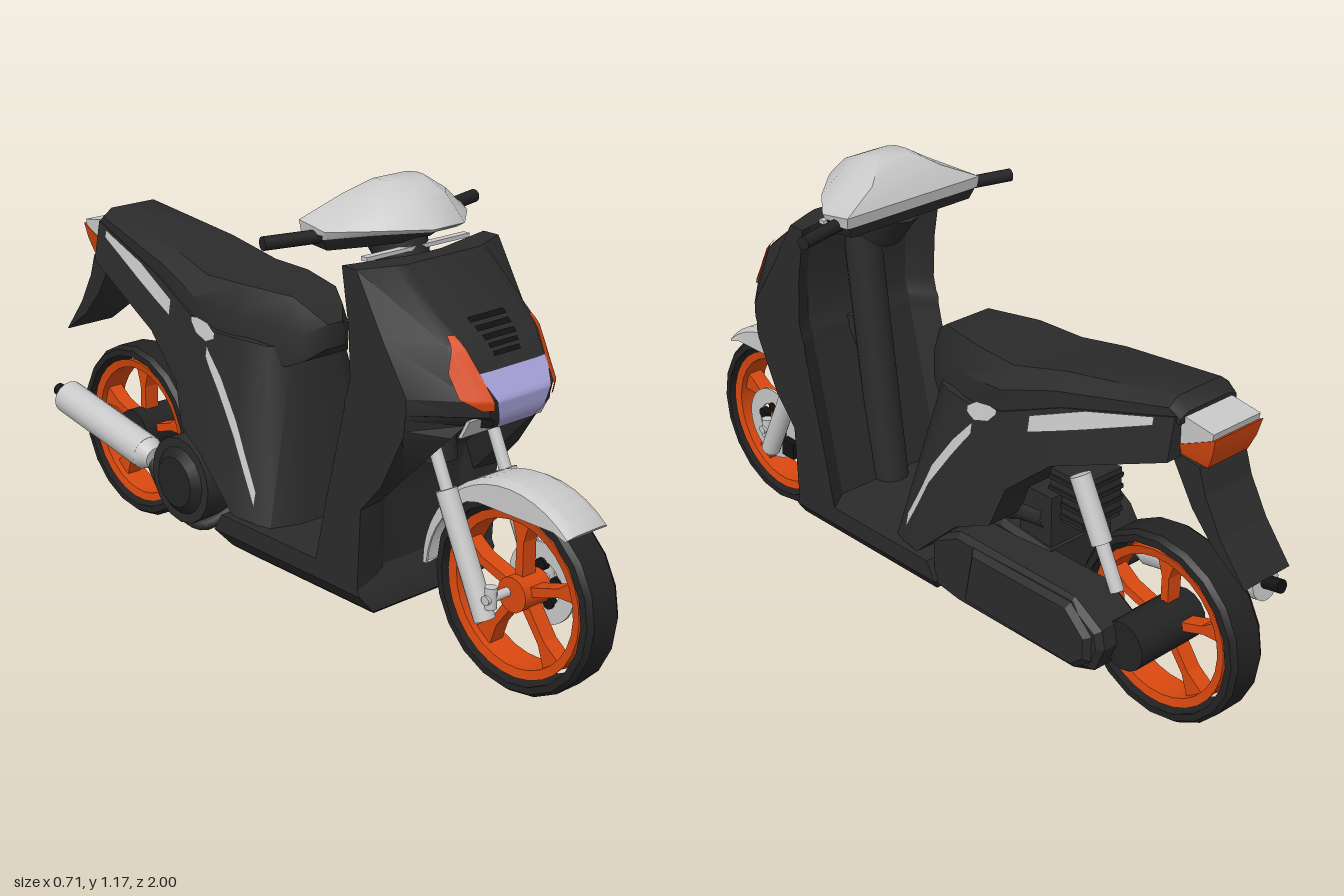
import * as THREE from 'three';
import { toCreasedNormals } from 'three/addons/utils/BufferGeometryUtils.js';

const paint = (name, color, side = THREE.FrontSide) => {
  const m = new THREE.MeshStandardMaterial({ color, side });
  m.name = name;
  return m;
};
const lerp = THREE.MathUtils.lerp;
const V = (p) => new THREE.Vector3(...p);

// Closed skin over rings of points, with capped ends
function loft(rings, crease = 0.45) {
  const n = rings[0].length, pos = [];
  const tri = (a, b, c) => pos.push(...a, ...b, ...c);
  for (let i = 0; i < rings.length - 1; i++) for (let j = 0; j < n; j++) {
    const k = (j + 1) % n, A = rings[i], B = rings[i + 1];
    tri(A[j], A[k], B[k]);
    tri(A[j], B[k], B[j]);
  }
  [rings[0], rings[rings.length - 1]].forEach((r, e) => {
    const mid = [0, 1, 2].map((d) => r.reduce((s, p) => s + p[d], 0) / n);
    for (let j = 0; j < n; j++) e ? tri(mid, r[j], r[(j + 1) % n]) : tri(mid, r[(j + 1) % n], r[j]);
  });
  // Turn the skin outwards if its volume is negative
  let vol = 0;
  for (let i = 0; i < pos.length; i += 9) {
    const [a, b, c] = [0, 3, 6].map((o) => V(pos.slice(i + o, i + o + 3)));
    vol += a.dot(b.cross(c));
  }
  if (vol < 0) for (let i = 0; i < pos.length; i += 9) for (let d = 0; d < 3; d++)
    [pos[i + 3 + d], pos[i + 6 + d]] = [pos[i + 6 + d], pos[i + 3 + d]];
  const g = new THREE.BufferGeometry();
  g.setAttribute('position', new THREE.Float32BufferAttribute(pos, 3));
  return toCreasedNormals(g, crease);
}
// Complete a half ring by mirroring it in x
const mirrorRing = (half) => [...half, ...half.map(([x, y, z]) => [-x, y, z]).reverse()];

// Thin painted panel: rows of [t, from, to] laid on a surface
function panel(rows, place) {
  const pos = [], idx = [], nu = 6, nv = 6;
  for (let r = 0; r < rows.length - 1; r++) for (let i = r ? 1 : 0; i <= nv; i++) {
    const [t, a, b] = rows[r].map((v, d) => lerp(v, rows[r + 1][d], i / nv));
    for (let j = 0; j <= nu; j++) pos.push(...place(t, lerp(a, b, j / nu)));
  }
  const w = nu + 1, count = pos.length / 3 / w;
  for (let i = 0; i < count - 1; i++) for (let j = 0; j < nu; j++) {
    const a = i * w + j;
    idx.push(a, a + 1, a + w, a + 1, a + w + 1, a + w);
  }
  const g = new THREE.BufferGeometry();
  g.setAttribute('position', new THREE.Float32BufferAttribute(pos, 3));
  g.setIndex(idx);
  g.computeVertexNormals();
  return g;
}
// Side outline of [z, y] points, extruded from x0 to x1
function sidePrism(pts, x0, x1, bevel = 0) {
  const g = new THREE.ExtrudeGeometry(new THREE.Shape(pts.map((p) => new THREE.Vector2(...p))), {
    depth: x1 - x0 - 2 * bevel, bevelEnabled: bevel > 0, bevelSize: bevel, bevelThickness: bevel,
    bevelOffset: -bevel, bevelSegments: 1 });
  return g.rotateY(-Math.PI / 2).translate(x1 - bevel, 0, 0);
}
function rodGeometry(a, b, r, r2 = r) {
  const A = V(a), B = V(b), d = B.clone().sub(A);
  const g = new THREE.CylinderGeometry(r2, r, d.length(), 16);
  g.applyQuaternion(new THREE.Quaternion().setFromUnitVectors(new THREE.Vector3(0, 1, 0), d.normalize()));
  return g.translate(...A.add(B).multiplyScalar(0.5).toArray());
}
const ringGeometry = (pts, seg) =>
  toCreasedNormals(new THREE.LatheGeometry(pts.map((p) => new THREE.Vector2(...p)), seg).rotateZ(-Math.PI / 2), 0.6);

// Leg shield rows: y, centre z, fold z, fold x, side z, rear z
const SHIELD = [
  [1.01, 0.455, 0.445, 0.15, 0.41, 0.36], [0.86, 0.64, 0.62, 0.15, 0.5, 0.385],
  [0.74, 0.72, 0.7, 0.13, 0.58, 0.39], [0.7, 0.715, 0.69, 0.13, 0.58, 0.38],
  [0.685, 0.71, 0.655, 0.11, 0.575, 0.372], [0.66, 0.69, 0.64, 0.1, 0.575, 0.37],
  [0.64, 0.56, 0.64, 0.15, 0.57, 0.365], [0.5, 0.42, 0.5, 0.16, 0.5, 0.33],
  [0.42, 0.4, 0.42, 0.16, 0.43, 0.31], [0.2, 0.4, 0.41, 0.16, 0.42, 0.26]];
function onShield(y, x) {
  let i = 0;
  while (i < SHIELD.length - 2 && y < SHIELD[i + 1][0]) i++;
  const t = (SHIELD[i][0] - y) / (SHIELD[i][0] - SHIELD[i + 1][0]);
  const [, zc, zf, a, zs] = SHIELD[i].map((v, d) => lerp(v, SHIELD[i + 1][d], t));
  const ax = Math.abs(x);
  const z = ax < a - 0.03 ? zc : ax < a ? lerp(zc, zf, (ax - a + 0.03) / 0.03) : lerp(zf, zs, (ax - a) / (0.235 - a));
  return [x, y, z + 0.008];
}
// Rear body rows: lower z, y, half width, then upper z, y, half width
const BODY = [
  [0.085, 0.235, 0.12, -0.005, 0.69, 0.07], [0.055, 0.235, 0.2, -0.04, 0.69, 0.125], [-0.06, 0.25, 0.232, -0.1, 0.7, 0.156],
  [-0.2, 0.38, 0.225, -0.2, 0.7, 0.17], [-0.3, 0.42, 0.205, -0.3, 0.72, 0.166],
  [-0.34, 0.53, 0.19, -0.34, 0.735, 0.16], [-0.47, 0.64, 0.17, -0.47, 0.785, 0.141],
  [-0.79, 0.76, 0.122, -0.79, 0.868, 0.102]];
function onBody(z, y, side) {
  const t = THREE.MathUtils.clamp((y - 0.27) / 0.43, 0, 1);
  const rowZ = (r) => lerp(r[0], r[3], t);
  let i = 0;
  while (i < BODY.length - 2 && z < rowZ(BODY[i + 1])) i++;
  const u = (rowZ(BODY[i]) - z) / (rowZ(BODY[i]) - rowZ(BODY[i + 1]));
  const [, yb, wb, , yt, wt] = BODY[i].map((v, d) => lerp(v, BODY[i + 1][d], u));
  return [side * (lerp(wb, wt, (y - yb) / (yt - yb)) + 0.008), y, z];
}

export function createModel() {
  const model = new THREE.Group();
  const dark = paint('dark plastic', 0x2b2b2b), black = paint('black', 0x121212, THREE.DoubleSide);
  const rubber = paint('rubber', 0x232323, THREE.DoubleSide), light = paint('light grey', 0xc8c8c8, THREE.DoubleSide);
  const orange = paint('orange', 0xd9480f, THREE.DoubleSide), lens = paint('lens', 0xa9a4dc, THREE.DoubleSide);
  const add = (name, geo, mat, parent = model) => {
    const m = new THREE.Mesh(geo, mat);
    m.name = name;
    parent.add(m);
    return m;
  };
  const rod = (name, mat, ...args) => add(name, rodGeometry(...args), mat);

  // Wheels: tyre, rim, hub and five flared spokes
  for (const [name, z] of [['frontWheel', 0.75], ['rearWheel', -0.717]]) {
    const wheel = new THREE.Group();
    wheel.name = name;
    wheel.position.set(0, 0.252, z);
    model.add(wheel);
    add('tyre', ringGeometry([[0.224, -0.055], [0.242, -0.054], [0.252, -0.04], [0.252, 0.04], [0.242, 0.054],
      [0.224, 0.055], [0.224, 0.05], [0.238, 0], [0.224, -0.05], [0.224, -0.055]].reverse(), 20), rubber, wheel);
    add('rim', ringGeometry([[0.187, -0.04], [0.21, -0.045], [0.203, 0], [0.21, 0.045], [0.187, 0.04], [0.187, -0.04]], 30), orange, wheel);
    add('hub', rodGeometry([-0.045, 0, 0], [0.045, 0, 0], 0.045), orange, wheel);
    for (let i = 0; i < 5; i++) {
      const s = add('spoke', sidePrism([[-0.012, 0.03], [0.012, 0.03], [0.011, 0.13], [0.03, 0.192], [-0.03, 0.192], [-0.011, 0.13]],
        -0.022, 0.022), orange, wheel);
      s.rotation.x = (i * Math.PI * 2) / 5;
    }
  }
  // Front brake and axle
  add('brakeDisc', ringGeometry([[0.06, -0.004], [0.105, -0.004], [0.105, 0.004], [0.06, 0.004], [0.06, -0.004]], 28)
    .translate(0.062, 0.252, 0.75), light);
  for (let i = 0; i < 5; i++) {
    const a = i * 1.257 + 0.3;
    rod('discBolt', black, [0.05, 0.252 + 0.05 * Math.sin(a), 0.75 + 0.05 * Math.cos(a)],
      [0.068, 0.252 + 0.05 * Math.sin(a), 0.75 + 0.05 * Math.cos(a)], 0.016);
  }
  add('brakeCaliper', new THREE.BoxGeometry(0.035, 0.05, 0.05).translate(0.07, 0.21, 0.66), black);
  rod('axle', light, [-0.12, 0.255, 0.735], [0.12, 0.255, 0.735], 0.012);

  // Fork legs
  for (const s of [-1, 1]) {
    rod('forkLower', light, [s * 0.102, 0.195, 0.72], [s * 0.102, 0.485, 0.583], 0.027);
    rod('forkUpper', light, [s * 0.1, 0.48, 0.585], [s * 0.1, 0.592, 0.533], 0.016);
    rod('axleClamp', light, [s * 0.1, 0.23, 0.735], [s * 0.1, 0.285, 0.735], 0.015);
  }
  rod('steeringTube', dark, [0, 0.5, 0.45], [0, 0.7, 0.43], 0.05);

  // Front mudguard: channel section swept about the wheel, its front skirt cut level
  add('frontMudguard', loft(Array.from({ length: 17 }, (_, i) => {
    const a = lerp(0.84, Math.PI, i / 16);
    const inner = a < 2.05 ? Math.min(0.27, 0.213 / Math.sin(a)) : lerp(0.24, 0.262, (a - 2.05) / 1.1);
    const at = (x, r) => [x, 0.252 + r * Math.sin(a), 0.75 + r * Math.cos(a)];
    return mirrorRing([at(0.045, 0.286), at(0.068, 0.275), at(0.07, inner), at(0.064, inner), at(0.06, 0.272)]);
  })), light);

  // Leg shield with hollow back and nose
  add('legShield', loft(SHIELD.map(([y, zc, zf, a, zs, zb]) => mirrorRing([
    [a - 0.03, y, zc], [a, y, zf], [0.235, y, zs], [0.235, y, zb], [0.17, y, zb + 0.045]]))), dark);
  rod('shieldSpine', dark, [0, 0.22, 0.31], [0, 0.93, 0.41], 0.05);
  add('shieldTopTrim', new THREE.BoxGeometry(0.34, 0.01, 0.02).translate(0, 1.014, 0.365), light);
  add('headlight', panel([[0.8, -0.115, 0.115], [0.74, -0.09, 0.09], [0.69, -0.075, 0.075], [0.662, -0.06, 0.06]], onShield), lens);
  add('underNosePanel', sidePrism([[0.676, 0.69], [0.686, 0.69], [0.66, 0.642], [0.65, 0.642]], -0.135, 0.135), light);
  for (const s of [-1, 1]) add('frontIndicator', panel([[0.88, s * 0.125, s * 0.14], [0.8, s * 0.108, s * 0.162],
    [0.745, s * 0.1, s * 0.158], [0.718, s * 0.095, s * 0.12]], onShield), orange);
  for (let i = 0; i < 5; i++) {
    const y = 0.898 - i * 0.017, w = 0.06 - i * 0.004;
    add('noseVent', panel([[y + 0.005, -w, w], [y - 0.005, -w, w]], onShield), black);
  }

  // Floor with chamfered underside
  add('floorboard', loft([[0.122, 0.17, 0.41, -0.06], [0.145, 0.2, 0.44, -0.1], [0.19, 0.235, 0.43, -0.13], [0.24, 0.235, 0.4, -0.1]]
    .map(([y, w, zf, zb]) => mirrorRing([[w, y, zf], [w, y, zb]]))), dark);

  // Rear body, side trims and seat
  add('rearBody', loft(BODY.map(([zb, yb, wb, zt, yt, wt]) => mirrorRing([[wb, yb, zb], [wt, yt, zt]])), 0.7), dark);
  for (const s of [-1, 1]) {
    const trim = (rows) => add('sideTrim', panel(rows, (z, y) => onBody(z, y, s)), light);
    trim([[0.005, 0.285, 0.325], [-0.04, 0.37, 0.412], [-0.08, 0.45, 0.497], [-0.15, 0.55, 0.595], [-0.215, 0.635, 0.665]]);
    trim([[-0.19, 0.685, 0.7], [-0.22, 0.672, 0.72], [-0.265, 0.685, 0.726], [-0.29, 0.712, 0.722]]);
    trim([[-0.39, 0.7, 0.742], [-0.55, 0.76, 0.806], [-0.74, 0.835, 0.855]]);
  }
  add('seat', loft([[0.078, 0.69, 0.755, 0.035], [0.045, 0.66, 0.79, 0.075], [0, 0.64, 0.82, 0.1], [-0.15, 0.68, 0.826, 0.15],
    [-0.29, 0.712, 0.824, 0.162], [-0.45, 0.775, 0.86, 0.14], [-0.77, 0.858, 0.905, 0.101], [-0.8, 0.85, 0.875, 0.096]]
    .map(([z, y0, y1, w]) => mirrorRing([[w, y0, z], [w, lerp(y0, y1, 0.55), z], [w * 0.72, y1, z]])), 0.7), dark);

  // Tail, with a light that flares towards its top
  add('tailCover', sidePrism([[-0.77, 0.87], [-0.885, 0.852], [-0.88, 0.825], [-0.77, 0.785]], -0.08, 0.08), light);
  add('tailLight', loft([[0.745, 0.068, -0.865], [0.785, 0.076, -0.882], [0.828, 0.082, -0.892]]
    .map(([y, w, z]) => mirrorRing([[w, y + 0.012, z], [w, y - (y - 0.745) * 0.5, -0.775]]))), orange);
  add('rearMudguard', sidePrism([[-0.76, 0.77], [-0.85, 0.757], [-0.872, 0.69], [-0.922, 0.6], [-1, 0.5], [-0.905, 0.567], [-0.835, 0.645]],
    -0.08, 0.08), dark);

  // Engine, drive case and cooling cover
  add('engineBlock', sidePrism([[-0.1, 0.2], [-0.1, 0.34], [-0.25, 0.38], [-0.42, 0.36], [-0.42, 0.2], [-0.36, 0.14], [-0.28, 0.14]],
    -0.12, 0.12, 0.015), dark);
  add('driveCase', sidePrism([[-0.1, 0.17], [-0.1, 0.31], [-0.2, 0.36], [-0.6, 0.355], [-0.69, 0.3], [-0.7, 0.25], [-0.67, 0.18], [-0.6, 0.155], [-0.2, 0.155]],
    0.08, 0.222, 0.015), dark);
  add('driveCover', sidePrism([[-0.23, 0.18], [-0.26, 0.345], [-0.6, 0.345], [-0.67, 0.28], [-0.67, 0.21], [-0.62, 0.17]], 0.2, 0.237, 0.015), dark);
  rod('rearHub', rubber, [-0.06, 0.252, -0.717], [0.165, 0.252, -0.717], 0.065);
  rod('fanCover', dark, [-0.1, 0.27, -0.3], [-0.215, 0.27, -0.3], 0.12);
  rod('fanCap', rubber, [-0.21, 0.27, -0.3], [-0.235, 0.27, -0.3], 0.1, 0.07);
  add('airBox', new THREE.BoxGeometry(0.13, 0.135, 0.115).translate(0, 0.49, -0.428), dark);
  for (let i = 0; i < 4; i++) add('airBoxRib', new THREE.BoxGeometry(0.14, 0.012, 0.12).translate(0, 0.44 + i * 0.032, -0.428), rubber);
  add('cylinderHead', new THREE.BoxGeometry(0.16, 0.14, 0.11).translate(0.02, 0.43, -0.355), dark);
  add('intake', new THREE.TubeGeometry(new THREE.CatmullRomCurve3([[0.06, 0.34, -0.18], [0.08, 0.41, -0.27], [0.08, 0.43, -0.38]].map(V)), 12, 0.03, 8), dark);

  // Rear shock
  rod('rearShockLower', light, [0.1, 0.34, -0.635], [0.1, 0.5, -0.555], 0.018);
  rod('rearShockUpper', light, [0.1, 0.45, -0.58], [0.1, 0.605, -0.502], 0.027);

  // Exhaust
  add('exhaustPipe', new THREE.TubeGeometry(new THREE.CatmullRomCurve3(
    [[-0.1, 0.2, -0.2], [-0.18, 0.15, -0.25], [-0.19, 0.19, -0.38], [-0.18, 0.28, -0.48]].map(V)), 20, 0.018, 8), dark);
  rod('exhaustCone', light, [-0.18, 0.28, -0.455], [-0.18, 0.285, -0.49], 0.03, 0.048);
  rod('silencer', light, [-0.18, 0.285, -0.49], [-0.18, 0.35, -0.86], 0.048);
  rod('exhaustTip', black, [-0.18, 0.35, -0.85], [-0.18, 0.36, -0.91], 0.018);

  // Handlebar and cowl
  const cowl = (rows) => loft(rows.map((pts) => mirrorRing(pts)), 0.7);
  add('handlebarCowl', cowl([
    [[0.04, 1.072, 0.455], [0.15, 1.066, 0.37], [0.218, 1.05, 0.28], [0.22, 1.055, 0.2]],
    [[0.05, 1.085, 0.475], [0.155, 1.08, 0.38], [0.225, 1.072, 0.29], [0.222, 1.085, 0.195]],
    [[0.05, 1.145, 0.41], [0.1, 1.14, 0.36], [0.125, 1.137, 0.29], [0.115, 1.135, 0.225]],
    [[0.045, 1.172, 0.35], [0.055, 1.175, 0.33], [0.06, 1.175, 0.3], [0.055, 1.172, 0.27]]]), light);
  add('handlebarUnderside', cowl([
    [[0.05, 1.03, 0.36], [0.12, 1.025, 0.32], [0.2, 1.02, 0.27], [0.2, 1.025, 0.21]],
    [[0.04, 1.073, 0.42], [0.13, 1.067, 0.36], [0.224, 1.06, 0.275], [0.215, 1.06, 0.2]]]), dark);
  rod('steeringNeck', dark, [0, 0.955, 0.335], [0, 1.05, 0.285], 0.06, 0.08);
  for (const s of [-1, 1]) rod('handGrip', rubber, [s * 0.18, 1.052, 0.255], [s * 0.35, 1.052, 0.212], 0.017);
  return model;
}
